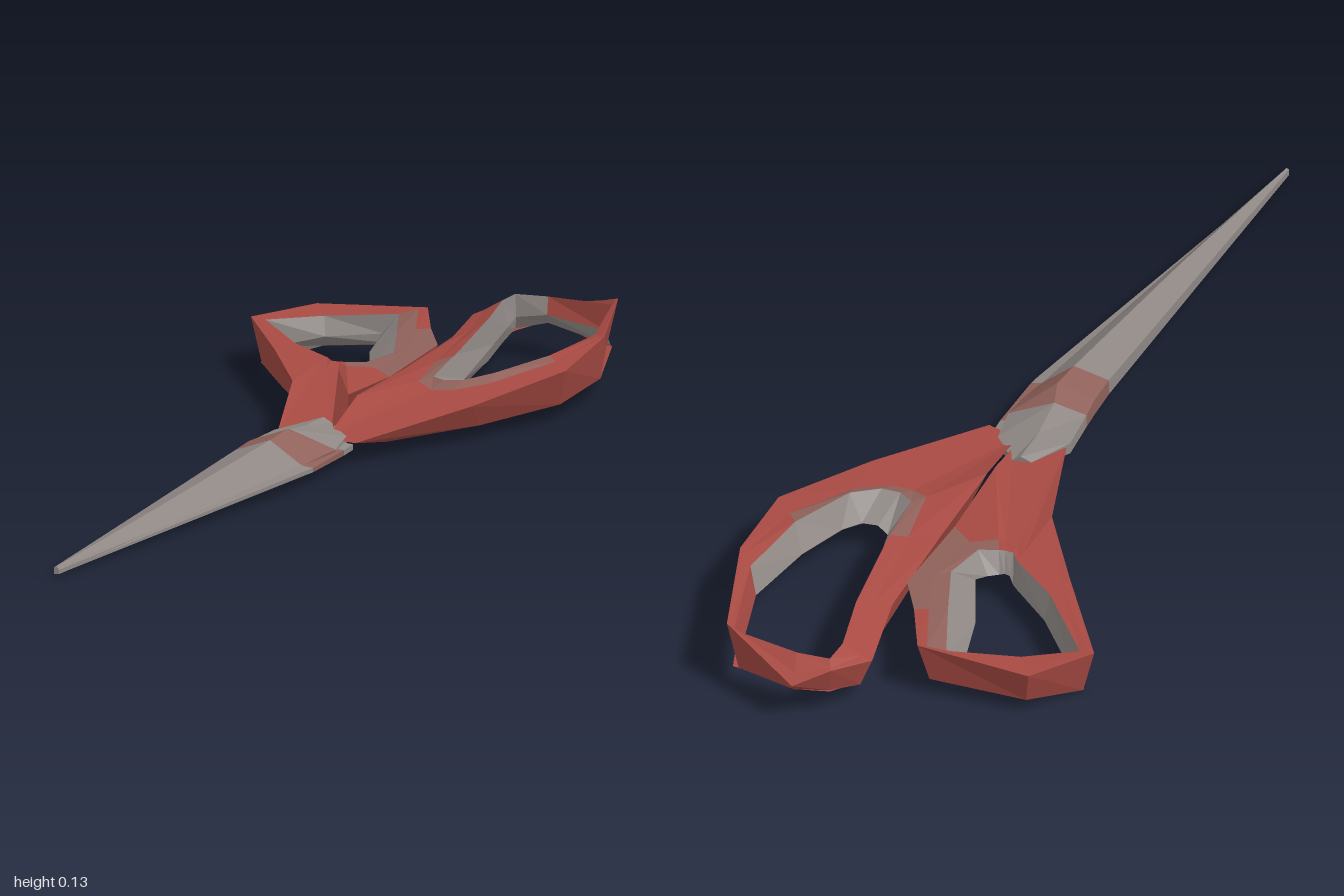
import * as THREE from 'three';

const material = (name, color) => {
  const m = new THREE.MeshStandardMaterial({ color, flatShading: true });
  m.name = name;
  return m;
};

// Join closed loops of equal length with quads; pick(station, side) gives the material index.
function loft(name, loops, materials, pick, ring) {
  const n = loops.length, sides = loops[0].length;
  const faces = materials.map(() => []);
  const quad = (to, a, b, c, d) => to.push(...a, ...b, ...c, ...a, ...c, ...d);
  for (let i = 0; i < (ring ? n : n - 1); i++) {
    const p = loops[i], q = loops[(i + 1) % n];
    for (let k = 0; k < sides; k++) {
      const j = (k + 1) % sides;
      quad(faces[pick(i, k)], p[k], p[j], q[j], q[k]);
    }
  }
  if (!ring) { // end caps
    for (let k = 1; k < sides - 1; k++) {
      const s = loops[0], e = loops[n - 1];
      faces[0].push(...s[0], ...s[k + 1], ...s[k], ...e[0], ...e[k], ...e[k + 1]);
    }
  }
  const geometry = new THREE.BufferGeometry();
  geometry.setAttribute('position', new THREE.Float32BufferAttribute(faces.flat(), 3));
  let start = 0;
  faces.forEach((f, i) => {
    geometry.addGroup(start, f.length / 3, i);
    start += f.length / 3;
  });
  geometry.computeVertexNormals();
  const mesh = new THREE.Mesh(geometry, materials);
  mesh.name = name;
  return mesh;
}

// Handle stations, clockwise from the back:
// outer x, z, hole x, z, bottom y, outer top y, inner top y, width of the hole's bevel.
// Spans in blendedTop, blendedRim and redBevel change the colour of those faces.
function handle(name, stations, materials, { blendedTop, blendedRim, redBevel }) {
  const loops = stations.map(([ox, oz, ix, iz, yb, yt, yi, w]) => {
    const d = Math.hypot(ox - ix, oz - iz);
    const point = (dist, limit, y) => {
      const u = Math.min(dist / d, limit);
      return [ix + (ox - ix) * u, y, iz + (oz - iz) * u];
    };
    const rim = Math.min((w + 0.035) / d, 0.8);
    return [
      point(d, 1, yt),
      point(w + 0.035, 0.8, yi + (yt - yi) * rim),
      point(w, 0.5, yi),
      point(0, 1, yb + (yi - yb) * 0.4),
      point(w, 0.45, yb + 0.004),
      point(w + 0.03, 0.55, yb + 0.002),
      point(d - 0.022, 0.75, yb),
    ];
  });
  const pick = (i, k) => {
    if (k === 2) return redBevel.includes(i) ? 0 : 1;
    if (k === 3) return 1; // lower wall of the finger hole
    if (k === 0) return blendedTop.includes(i) ? 2 : 0;
    return (k === 1 || k === 4) && blendedRim.includes(i) ? 2 : 0;
  };
  return loft(name, loops, materials, pick, true);
}

// Blade sections: z, left x, ridge x, right x, bottom y, left top y, ridge y, right y.
// Spans listed in band get the second material.
function blade(name, sections, materials, band) {
  const loops = sections.map(([z, l, m, r, yb, yl, ym, yr]) =>
    [[l, yb, z], [r, yb, z], [r, yr, z], [m, ym, z], [l, yl, z]]);
  return loft(name, loops, materials, (i) => (band.includes(i) ? 1 : 0), false);
}

export function createModel() {
  const red = material('red plastic', 0xa84a43);
  const steel = material('grey steel', 0x8e8784);
  const blend = material('reddish brown', 0x8f615a);
  const mats = [red, steel, blend];
  const model = new THREE.Group();
  model.name = 'scissors';

  model.add(handle('largeHandle', [
    [0.165, -1.0, 0.17, -0.925, 0.06, 0.08, 0.113, 0.012],
    [0.31, -0.89, 0.285, -0.89, 0.035, 0.127, 0.115, 0.012],
    [0.345, -0.62, 0.3, -0.69, 0.035, 0.118, 0.11, 0.03],
    [0.32, -0.41, 0.25, -0.53, 0.03, 0.1, 0.107, 0.04],
    [0.19, -0.21, 0.2, -0.425, 0.025, 0.072, 0.1, 0.058],
    [0.02, 0.0, 0.17, -0.39, 0.025, 0.042, 0.092, 0.065],
    [-0.04, -0.03, 0.14, -0.39, 0.025, 0.042, 0.09, 0.065],
    [-0.025, -0.22, 0.12, -0.4, 0.006, 0.08, 0.09, 0.055],
    [0.012, -0.45, 0.112, -0.5, 0.025, 0.08, 0.1, 0.018],
    [0.045, -0.7, 0.11, -0.75, 0.03, 0.085, 0.112, 0.01],
    [0.04, -0.89, 0.105, -0.89, 0.03, 0.084, 0.113, 0.01],
    [0.1, -0.965, 0.11, -0.935, 0.045, 0.1, 0.113, 0.01],
  ], mats, { blendedTop: [], blendedRim: [3, 4, 5, 6, 7], redBevel: [0, 1] }));

  model.add(handle('smallHandle', [
    [-0.25, -0.89, -0.215, -0.805, 0.025, 0.09, 0.084, 0.015],
    [-0.035, -0.85, -0.115, -0.83, 0.03, 0.102, 0.09, 0.03],
    [0.0, -0.72, -0.105, -0.68, 0.03, 0.094, 0.09, 0.05],
    [0.035, -0.62, -0.072, -0.53, 0.03, 0.087, 0.082, 0.05],
    [-0.005, -0.4, -0.09, -0.51, 0.025, 0.075, 0.082, 0.04],
    [-0.037, -0.2, -0.11, -0.5, 0.025, 0.085, 0.082, 0.03],
    [-0.04, -0.07, -0.12, -0.5, 0.03, 0.045, 0.082, 0.03],
    [-0.135, -0.05, -0.13, -0.505, 0.03, 0.045, 0.082, 0.03],
    [-0.17, -0.33, -0.14, -0.52, 0.015, 0.075, 0.082, 0.02],
    [-0.25, -0.54, -0.22, -0.62, 0.01, 0.082, 0.082, 0.02],
    [-0.348, -0.78, -0.305, -0.77, 0, 0.085, 0.082, 0.015],
  ], mats, { blendedTop: [2, 3], blendedRim: [1, 2, 3, 4], redBevel: [] }));

  // Each blade: pivot end, reddish band, then the taper to the tip
  model.add(blade('upperBlade', [
    [-0.12, -0.085, -0.065, -0.05, 0.035, 0.05, 0.06, 0.05],
    [-0.04, -0.14, -0.08, -0.005, 0.028, 0.05, 0.062, 0.045],
    [0.05, -0.15, -0.09, -0.005, 0.03, 0.055, 0.074, 0.04],
    [0.1, -0.155, -0.085, -0.018, 0.028, 0.06, 0.085, 0.04],
    [0.17, -0.165, -0.1, -0.04, 0.028, 0.058, 0.08, 0.035],
    [0.6, -0.243, -0.205, -0.175, 0.017, 0.037, 0.05, 0.022],
    [1.0, -0.316, -0.311, -0.306, 0.006, 0.018, 0.02, 0.014],
  ], [steel, blend], [2, 3]));
  model.add(blade('lowerBlade', [
    [-0.02, -0.13, -0.04, 0.012, 0.025, 0.04, 0.045, 0.035],
    [0.03, -0.14, -0.05, 0.006, 0.025, 0.04, 0.045, 0.035],
    [0.17, -0.15, -0.065, -0.02, 0.024, 0.036, 0.04, 0.032],
    [0.195, -0.155, -0.07, -0.028, 0.024, 0.036, 0.04, 0.032],
    [0.99, -0.312, -0.309, -0.304, 0.006, 0.01, 0.012, 0.01],
  ], [steel, blend], [1]));
  return model;
}
